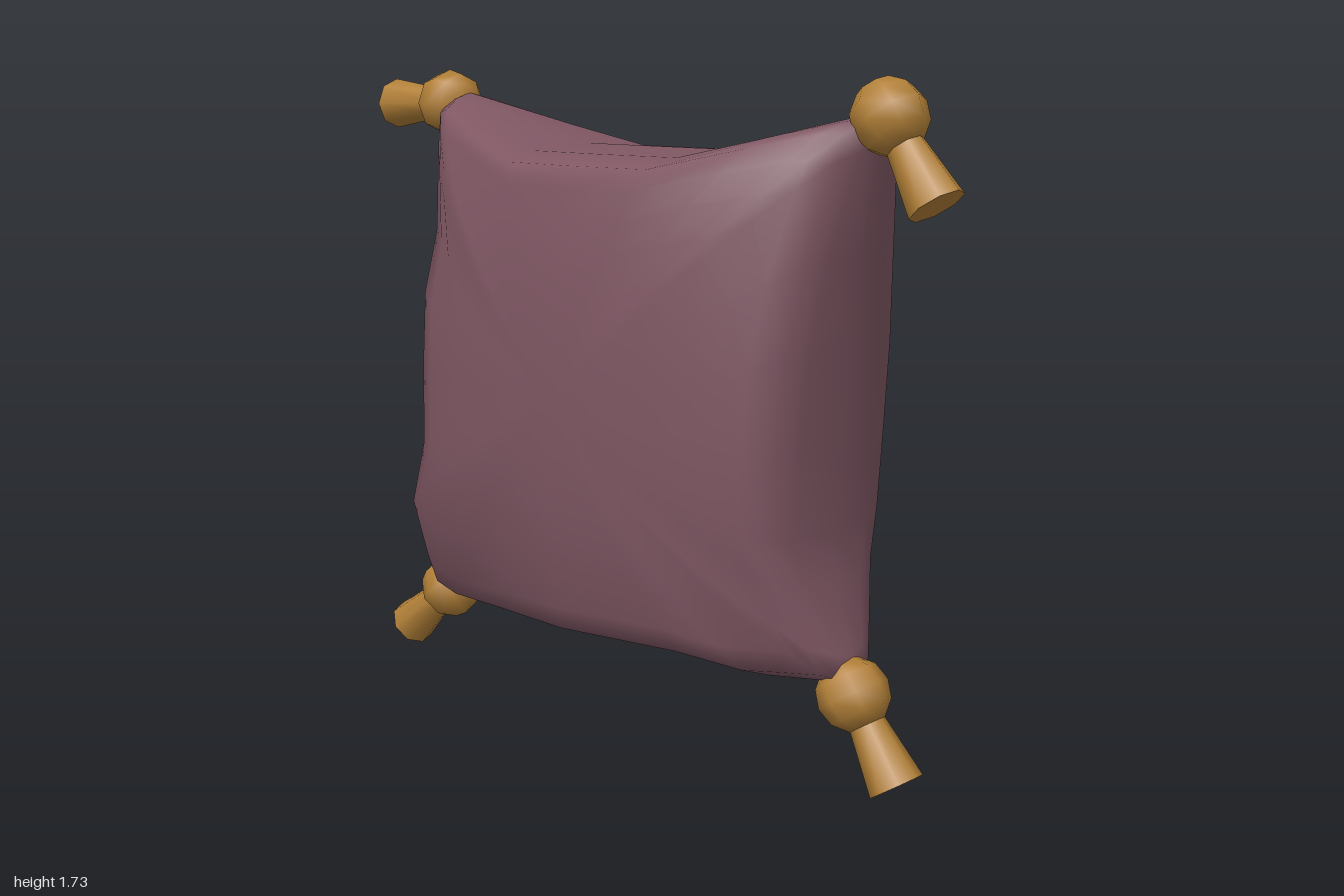
import * as THREE from 'three';
import { mergeVertices } from 'three/addons/utils/BufferGeometryUtils.js';

const fabric = new THREE.MeshStandardMaterial({ color: 0x7f5763 });
fabric.name = 'mauve fabric';
const cord = new THREE.MeshStandardMaterial({ color: 0xb28038 });
cord.name = 'golden cord';

// Seam outline, clockwise from the upper corner at -x: [x, y, half width of the side wall]
const outline = [
  [-0.71, 1.66, 0.05], [-0.65, 1.67, 0.08], [-0.4, 1.6, 0.2], [-0.17, 1.545, 0.29], [0.08, 1.545, 0.3],
  [0.33, 1.545, 0.28], [0.56, 1.6, 0.17], [0.74, 1.64, 0.08], [0.79, 1.64, 0.05],
  [0.78, 1.57, 0.08], [0.73, 1.32, 0.15], [0.7, 1.09, 0.19], [0.68, 0.86, 0.2], [0.665, 0.64, 0.2],
  [0.675, 0.51, 0.16], [0.73, 0.34, 0.08], [0.75, 0.27, 0.05],
  [0.65, 0.265, 0.1], [0.57, 0.265, 0.16], [0.4, 0.295, 0.24], [0, 0.275, 0.27], [-0.33, 0.25, 0.2],
  [-0.65, 0.2, 0.08], [-0.77, 0.21, 0.05],
  [-0.78, 0.3, 0.08], [-0.72, 0.5, 0.19], [-0.63, 0.7, 0.22], [-0.615, 0.93, 0.23], [-0.61, 1.15, 0.22],
  [-0.595, 1.33, 0.18], [-0.69, 1.56, 0.08],
];

// Concentric rings from the front centre, over the seam, to the back centre
function cushionGeometry() {
  const cx = 0.05, cy = 0.93, depth = 0.36, n = outline.length;
  const half = [0, 0.22, 0.42, 0.6, 0.74, 0.85, 0.94, 0.98];
  const rings = [
    ...half.map((s) => [s, 1]), [1, 0],
    ...half.slice().reverse().map((s) => [s, -1]),
  ];
  const positions = [], index = [];
  for (const [s, side] of rings) {
    for (const [x, y, w] of outline) {
      const bulge = s > 0.94 ? w * 0.7 : w + (depth - w) * (1 - s ** 2.5);
      positions.push(cx + (x - cx) * s, cy + (y - cy) * s, side * bulge);
    }
  }
  for (let i = 0; i < rings.length - 1; i++) {
    for (let j = 0; j < n; j++) {
      const a = i * n + j, b = i * n + (j + 1) % n;
      if (i > 0) index.push(a, b, b + n);
      if (i < rings.length - 2) index.push(a, b + n, a + n);
      else index.push(a, b, a + n);
    }
  }
  // first ring collapses to the centre point, so each sector there is one triangle
  let geometry = new THREE.BufferGeometry();
  geometry.setAttribute('position', new THREE.Float32BufferAttribute(positions, 3));
  geometry.setIndex(index);
  geometry = mergeVertices(geometry, 1e-4);
  geometry.computeVertexNormals();
  return geometry;
}

// Knot with a flaring skirt pointing along local -y
function makeTassel(name, x, y, endX, endY) {
  const tassel = new THREE.Group();
  tassel.name = name;
  const length = Math.hypot(endX - x, endY - y);
  const knot = new THREE.Mesh(new THREE.SphereGeometry(0.093, 8, 6), cord);
  knot.name = 'knot';
  const skirt = new THREE.Mesh(new THREE.CylinderGeometry(0.042, 0.07, length - 0.05, 8), cord);
  skirt.name = 'skirt';
  skirt.position.y = -(length + 0.05) / 2;
  tassel.add(knot, skirt);
  tassel.position.set(x, y, 0);
  tassel.rotation.z = Math.atan2(endY - y, endX - x) + Math.PI / 2;
  return tassel;
}

export function createModel() {
  const model = new THREE.Group();
  model.name = 'tasselled cushion';

  const cushion = new THREE.Mesh(cushionGeometry(), fabric);
  cushion.name = 'cushion';
  model.add(cushion);

  model.add(
    makeTassel('upperRightTassel', -0.73, 1.64, -0.97, 1.635),
    makeTassel('upperLeftTassel', 0.8, 1.635, 0.935, 1.44),
    makeTassel('lowerRightTassel', -0.765, 0.21, -0.955, 0.055),
    makeTassel('lowerLeftTassel', 0.735, 0.245, 0.87, 0.045),
  );
  return model;
}
